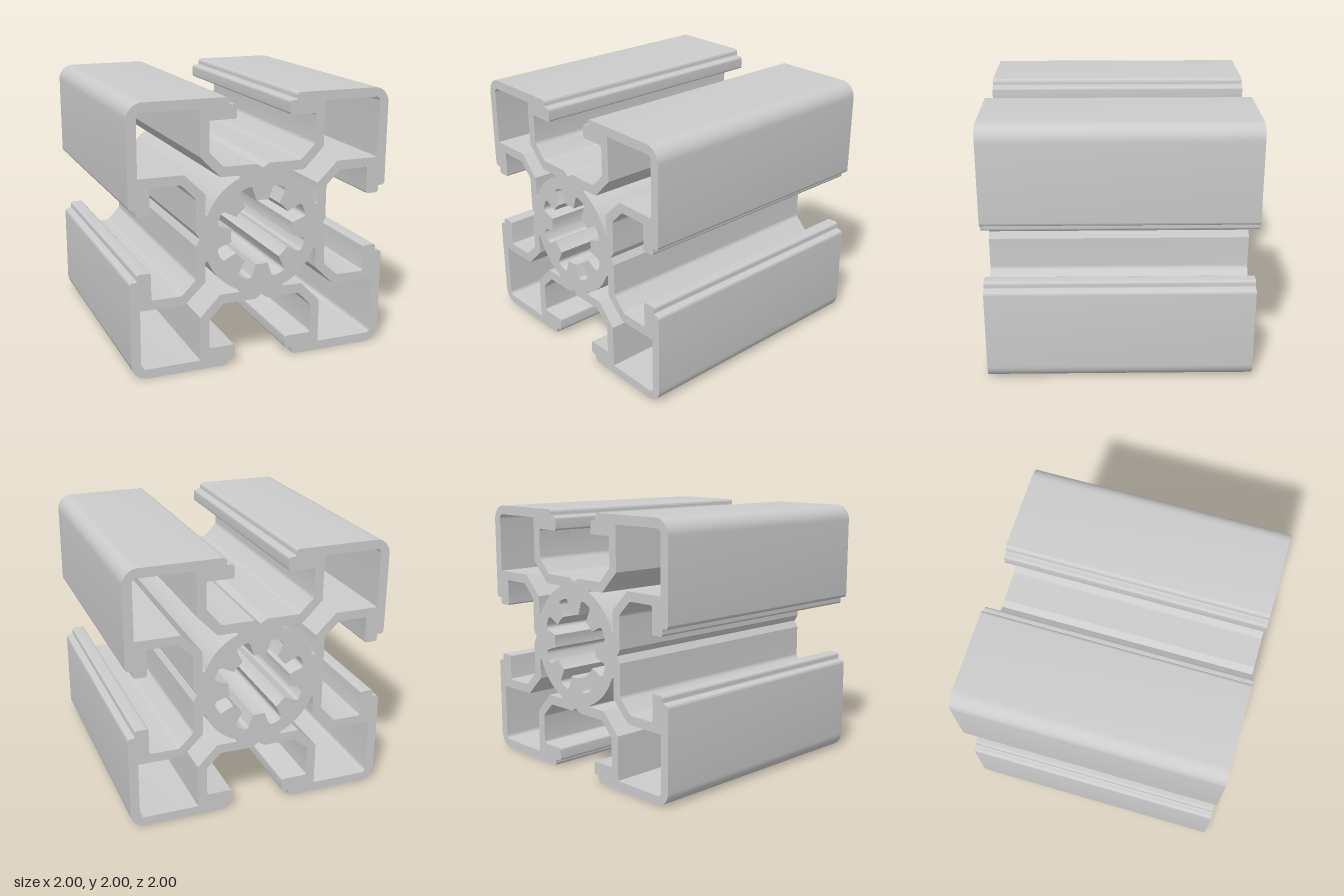
import * as THREE from 'three';
import { toCreasedNormals } from 'three/addons/utils/BufferGeometryUtils.js';

// Trace a closed outline of [x, y, fillet] corners
function trace(path, pts) {
  const n = pts.length;
  const along = (a, b, d) => {
    const l = Math.hypot(b[0] - a[0], b[1] - a[1]);
    return [a[0] + (b[0] - a[0]) * d / l, a[1] + (b[1] - a[1]) * d / l];
  };
  pts.forEach((p, i) => {
    const d = p[2] || 0;
    const a = d ? along(p, pts[(i + n - 1) % n], d) : p;
    if (i === 0) path.moveTo(a[0], a[1]);
    else path.lineTo(a[0], a[1]);
    if (d) {
      const next = pts[(i + 1) % n];
      const b = along(p, next, d);
      const c1 = along(p, pts[(i + n - 1) % n], d * 0.45);
      const c2 = along(p, next, d * 0.45);
      path.bezierCurveTo(c1[0], c1[1], c2[0], c2[1], b[0], b[1]);
    }
  });
  path.closePath();
  return path;
}

// Quarter turns, and mirroring across the diagonal
const turn = (pts, k) => {
  for (; k > 0; k--) pts = pts.map(([x, y, d]) => [y, -x, d]);
  return pts;
};
const mirror = pts => pts.map(([x, y, d]) => [y, x, d]).reverse();
const polar = (r, deg, d) => {
  const a = deg * Math.PI / 180;
  return [r * Math.cos(a), r * Math.sin(a), d];
};

export function createModel() {
  // Half a T-slot: floor notch, sloped flank, stepped lip
  const slot = [
    [0, 0.48], [0.05, 0.51], [0.3, 0.51, 0.015], [0.408, 0.62, 0.015],
    [0.408, 0.845, 0.015], [0.205, 0.845, 0.015], [0.205, 0.947, 0.018],
    [0.26, 0.947, 0.012], [0.26, 1, 0.025],
  ];
  const quarter = [...slot, [1, 1, 0.115], ...mirror(slot.slice(1))];

  // Corner chamber: square cell, diagonal passage, curved hub wall
  const cell = [
    [0.478, 0.93], [0.478, 0.595], [0.325, 0.438], [0.17, 0.438, 0.008], [0.172, 0.421, 0.006],
  ];
  const hubArc = [];
  for (let i = 1; i < 16; i++) hubArc.push(polar(0.455, 67.8 - 45.6 * i / 16));
  const chamber = [[0.93, 0.93, 0.035], ...cell, ...hubArc, ...mirror(cell)];

  // Central bore with eight inward teeth
  const bore = [];
  for (let i = 0; i < 8; i++) {
    const a = i * 45;
    for (const t of [-11.3, -4, 4, 11.3]) bore.push(polar(0.243, a + t));
    bore.push(polar(0.36, a + 13.6, 0.025));
    for (const t of [19.5, 25.5]) bore.push(polar(0.361, a + t));
    bore.push(polar(0.36, a + 31.4, 0.025));
  }

  const outline = [];
  for (let k = 0; k < 4; k++) outline.push(...turn(quarter, k));
  const shape = trace(new THREE.Shape(), outline);
  for (let k = 0; k < 4; k++) shape.holes.push(trace(new THREE.Path(), turn(chamber, k)));
  shape.holes.push(trace(new THREE.Path(), bore));

  // Extrude the section along z
  const geometry = new THREE.ExtrudeGeometry(shape, { depth: 2, bevelEnabled: false, curveSegments: 8 });
  geometry.translate(0, 1, -1);
  const rail = new THREE.Mesh(
    toCreasedNormals(geometry, 0.4),
    new THREE.MeshStandardMaterial({ color: 0xcccccc })
  );
  rail.name = 'slottedRail';

  const group = new THREE.Group();
  group.name = 'slottedProfile';
  group.add(rail);
  return group;
}
